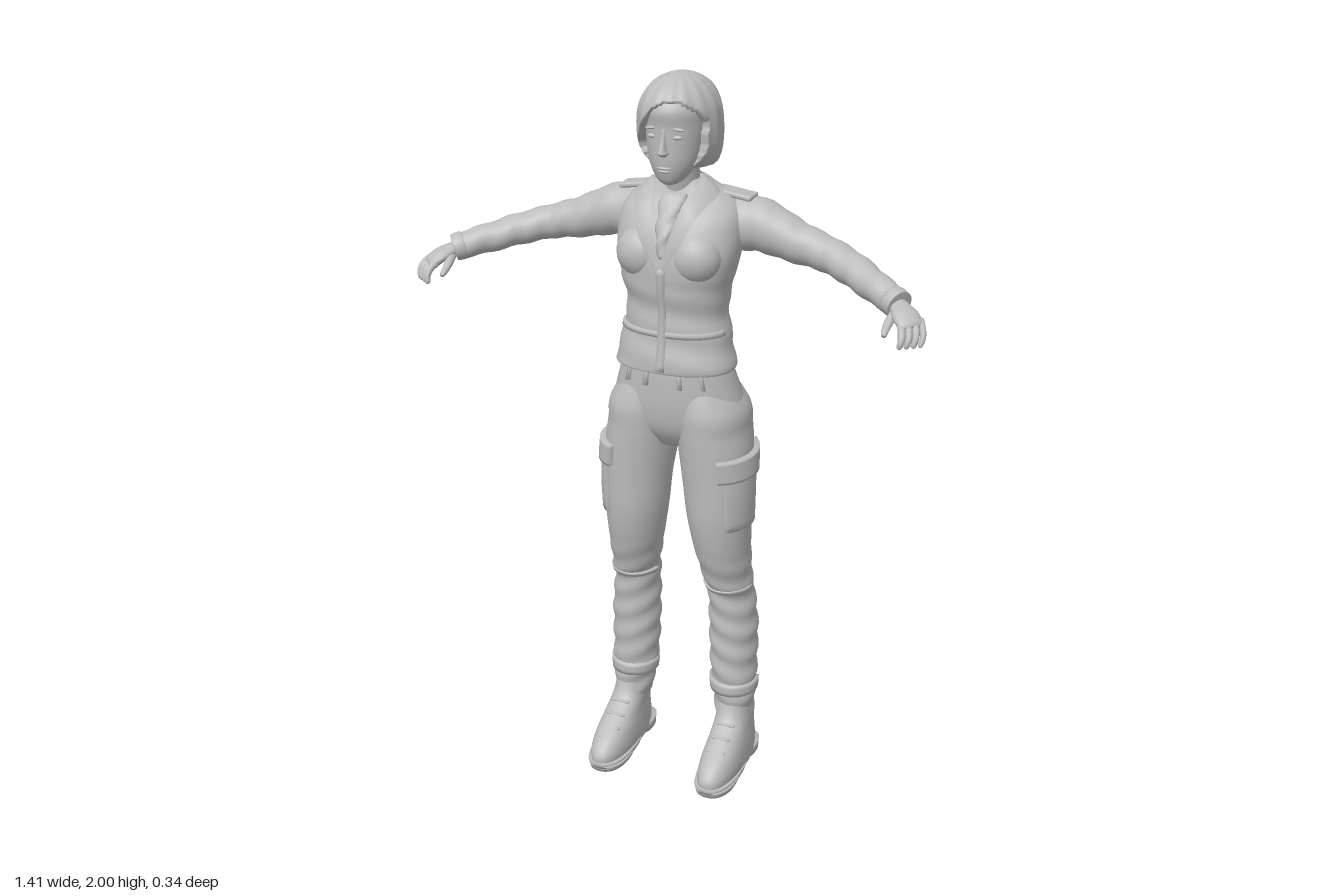
import * as THREE from 'three';
import { RoundedBoxGeometry } from 'three/addons/geometries/RoundedBoxGeometry.js';

const V = (x, y, z) => new THREE.Vector3(x, y, z);

// Catmull-Rom smoothing of cross-sections [x, y, z, radiusA, radiusB]
function densify(secs, sub = 5) {
  const out = [], last = secs.length - 1;
  for (let i = 0; i < last; i++) {
    const [p0, p1, p2, p3] = [-1, 0, 1, 2].map(k => secs[Math.min(last, Math.max(0, i + k))]);
    for (let s = 0; s < sub; s++) {
      const t = s / sub;
      out.push(p1.map((b, k) => {
        const a = p0[k], c = p2[k], d = p3[k];
        return 0.5 * (2 * b + (c - a) * t + (2 * a - 5 * b + 4 * c - d) * t * t + (3 * b - a - 3 * c + d) * t * t * t);
      }));
    }
  }
  out.push(secs[last]);
  return out;
}

const power = (c, pow) => Math.sign(c) * Math.abs(c) ** (2 / pow);

function ringPoint(sec, a, pow = 2, off = 0, u = V(1, 0, 0), v = V(0, 0, 1)) {
  return V(sec[0], sec[1], sec[2])
    .addScaledVector(u, (sec[3] + off) * power(Math.cos(a), pow))
    .addScaledVector(v, (sec[4] + off) * power(Math.sin(a), pow));
}

function makeGeometry(pos, index) {
  const g = new THREE.BufferGeometry();
  g.setAttribute('position', new THREE.Float32BufferAttribute(pos, 3));
  g.setIndex(index);
  g.computeVertexNormals();
  return g;
}

// Closed skin over cross-sections: level rings, or rings square to the path
function loft(secs, { path = false, n = 32, pow = 2, sub = 5, wrinkle = null, rule = null } = {}) {
  const d = densify(secs, sub), pos = [], index = [], m = d.length;
  const at = i => V(d[i][0], d[i][1], d[i][2]);
  d.forEach((s, i) => {
    let u = V(1, 0, 0), v = V(0, 0, 1);
    if (path) {
      const t = at(Math.min(m - 1, i + 1)).sub(at(Math.max(0, i - 1))).normalize();
      u = V(0, 1, 0).cross(t).normalize();
      v = t.clone().cross(u);
    }
    for (let j = 0; j < n; j++) {
      const a = j / n * Math.PI * 2;
      const p = ringPoint(s, a, pow, wrinkle ? wrinkle(a, s[1], s[0]) : 0, u, v);
      if (rule) rule(p);
      pos.push(p.x, p.y, p.z);
    }
  });
  const flip = !path && d[m - 1][1] > d[0][1];
  const tri = (a, b, c) => flip ? index.push(a, c, b) : index.push(a, b, c);
  for (let i = 0; i < m - 1; i++) for (let j = 0; j < n; j++) {
    const a = i * n + j, b = i * n + (j + 1) % n;
    tri(a, b, a + n);
    tri(b, b + n, a + n);
  }
  for (const [i, first] of [[0, true], [m - 1, false]]) {
    const c = pos.length / 3;
    pos.push(d[i][0], d[i][1], d[i][2]);
    for (let j = 0; j < n; j++) {
      const a = i * n + j, b = i * n + (j + 1) % n;
      first ? tri(c, b, a) : tri(c, a, b);
    }
  }
  return makeGeometry(pos, index);
}

// Raised panel lying on a level-ring skin; its border sinks into the skin
function panel(secs, y0, y1, a0, a1, off, { pow = 2, side = 1, cols = 16, rows = 10 } = {}) {
  const d = densify(secs).sort((p, q) => p[1] - q[1]), pos = [], index = [];
  for (let r = 0; r <= rows; r++) for (let c = 0; c <= cols; c++) {
    const edge = r === 0 || c === 0 || r === rows || c === cols;
    const fr = Math.min(1, Math.max(0, (r - 1) / (rows - 2))), fc = Math.min(1, Math.max(0, (c - 1) / (cols - 2)));
    const y = y0 + (y1 - y0) * fr;
    const k = Math.max(1, d.findIndex(s => s[1] >= y)), lo = d[k - 1], hi = d[k];
    const t = (y - lo[1]) / (hi[1] - lo[1]);
    const p = ringPoint(lo.map((q, i) => q + (hi[i] - q) * t), a0 + (a1 - a0) * fc, pow, edge ? -0.006 : off);
    pos.push(p.x * side, p.y, p.z);
    if (r < rows && c < cols) {
      const a = r * (cols + 1) + c, b = a + 1, e = a + cols + 1;
      side > 0 ? index.push(a, e, b, b, e, e + 1) : index.push(a, b, e, b, e + 1, e);
    }
  }
  return makeGeometry(pos, index);
}

// Open cloth strip between two edge curves
function ribbon(inner, outer, side) {
  const N = 24, pos = [], index = [];
  const [ci, co] = [inner, outer].map(l => new THREE.CatmullRomCurve3(l.map(p => V(p[0] * side, p[1], p[2]))));
  for (let i = 0; i <= N; i++) {
    const a = ci.getPoint(i / N), b = co.getPoint(i / N), c = a.clone().lerp(b, 0.5).add(V(0, 0.006, 0.004));
    pos.push(...a, ...c, ...b);
    if (i < N) for (const k of [0, 1]) {
      const q = i * 3 + k;
      side > 0 ? index.push(q, q + 3, q + 1, q + 1, q + 3, q + 4) : index.push(q, q + 1, q + 3, q + 1, q + 4, q + 3);
    }
  }
  return makeGeometry(pos, index);
}

export function createModel() {
  const model = new THREE.Group();
  model.name = 'figure';
  const grey = new THREE.MeshStandardMaterial({ color: 0xbcbcbc, side: THREE.DoubleSide });
  grey.name = 'plain grey';
  const add = (name, geo) => {
    const m = new THREE.Mesh(geo, grey);
    m.name = name;
    model.add(m);
    return m;
  };
  const ball = (name, x, y, z, sx, sy, sz) => {
    const m = add(name, new THREE.SphereGeometry(1, 24, 16));
    m.position.set(x, y, z);
    m.scale.set(sx, sy, sz);
    return m;
  };
  const flipX = (secs, s) => secs.map(p => [p[0] * s, ...p.slice(1)]);

  // Head, face and neck
  add('head', loft([[0, 1.73, .03, .018, .02], [0, 1.742, .022, .036, .038], [0, 1.77, .01, .055, .06], [0, 1.80, 0, .066, .074],
    [0, 1.84, -.01, .074, .085], [0, 1.88, -.015, .079, .091], [0, 1.92, -.02, .08, .1], [0, 1.96, -.03, .065, .085]], { n: 40 }));
  add('neck', loft([[0, 1.6, -.06, .07, .07], [0, 1.68, -.055, .054, .056], [0, 1.73, -.042, .048, .052], [0, 1.79, -.03, .05, .055]]));
  add('nose', loft([[0, 1.806, .07, .006, .008], [0, 1.814, .074, .014, .021], [0, 1.826, .073, .01, .02], [0, 1.85, .07, .007, .013],
    [0, 1.875, .068, .006, .008]], { n: 16 }));
  ball('upperLip', 0, 1.776, .068, .02, .0045, .008);
  ball('lowerLip', 0, 1.768, .066, .016, .005, .009);
  for (const s of [1, -1]) {
    ball('eye', .032 * s, 1.855, .064, .015, .006, .008);
    ball('eyebrow', .034 * s, 1.876, .065, .019, .004, .008).rotation.z = -.12 * s;
  }

  // Bobbed hair, sunk into the head where the face shows
  add('hair', loft([[0, 1.775, -.06, .05, .06], [0, 1.765, -.065, .078, .082], [0, 1.785, -.053, .094, .1], [0, 1.82, -.042, .104, .12],
    [0, 1.87, -.037, .106, .13], [0, 1.92, -.035, .1, .127], [0, 1.96, -.035, .08, .106], [0, 1.985, -.035, .052, .07],
    [0, 1.997, -.035, .022, .03], [0, 2, -.035, .002, .002]], {
    n: 96, sub: 6, wrinkle: a => .0015 * Math.sin(15 * a),
    rule: p => {
      const line = 1.94 - 9 * (p.x - .02) ** 2;
      if (p.z > .02 && p.y < line) { p.x *= .72; p.z = -.03 + (p.z + .03) * .6; }
    },
  }));

  // Jacket body
  const body = [[0, 1.235, -.01, .157, .105], [0, 1.245, -.01, .164, .111], [0, 1.32, -.018, .148, .107], [0, 1.4, -.024, .135, .108],
    [0, 1.47, -.024, .148, .117], [0, 1.53, -.028, .162, .122], [0, 1.58, -.04, .168, .122], [0, 1.64, -.057, .164, .109],
    [0, 1.68, -.07, .14, .084], [0, 1.71, -.065, .09, .065], [0, 1.73, -.06, .06, .055]];
  add('jacket', loft(body, { n: 48, pow: 2.25, wrinkle: (a, y) => y < 1.48 ? .0025 * Math.sin(y * 75 + 2 * Math.cos(a)) : 0 }));
  add('zip', panel(body, 1.245, 1.52, Math.PI / 2 - .05, Math.PI / 2 + .05, .005, { pow: 2.25, cols: 4, rows: 20 }));
  add('waistSeam', panel(body, 1.335, 1.35, .2, Math.PI - .2, .004, { pow: 2.25, cols: 30, rows: 4 }));
  add('scarf', loft([[0, 1.7, .0, .035, .02], [0, 1.65, .038, .03, .025], [0, 1.6, .068, .022, .022], [0, 1.55, .086, .009, .014]],
    { n: 20, wrinkle: (a, y) => .003 * Math.sin(3 * a + y * 120) }));

  const leg = [[.07, 1.2, -.03, .075, .095], [.095, 1.12, -.038, .098, .124], [.1, 1.06, -.04, .1, .127], [.108, 1, -.033, .1, .118],
    [.118, .9, -.023, .095, .103], [.123, .8, -.025, .088, .1], [.13, .7, -.035, .077, .092], [.14, .6, -.055, .066, .08],
    [.144, .55, -.071, .064, .075], [.15, .45, -.077, .068, .075], [.152, .35, -.077, .067, .073], [.155, .25, -.075, .063, .069],
    [.157, .2, -.072, .056, .066], [.16, .15, -.075, .051, .07]];
  const boot = [[.167, .02, .008, .056, .163], [.167, .05, .008, .058, .163], [.167, .085, -.006, .055, .145], [.166, .12, -.035, .05, .112],
    [.163, .16, -.068, .048, .082], [.16, .21, -.075, .046, .066]];
  const arm = [[.1, 1.605, -.095, .065, .07], [.15, 1.612, -.096, .068, .074], [.21, 1.608, -.095, .067, .068], [.3, 1.58, -.086, .055, .055],
    [.39, 1.56, -.073, .047, .046], [.47, 1.54, -.036, .046, .042], [.54, 1.52, .012, .041, .039], [.6, 1.503, .05, .036, .036],
    [.618, 1.498, .062, .035, .034]];
  const palm = [[.6, 1.5, .05, .024, .02], [.622, 1.494, .07, .027, .018], [.645, 1.482, .095, .036, .017], [.662, 1.468, .113, .033, .014],
    [.668, 1.462, .119, .024, .008]];

  for (const s of [1, -1]) {
    ball('chest', .073 * s, 1.545, .04, .07, .068, .06);
    // Lapel and collar running round to the nape, with an epaulette
    add('collar', ribbon(
      [[0, 1.53, .104], [.026, 1.62, .086], [.045, 1.69, .045], [.062, 1.735, -.04], [0, 1.745, -.112]],
      [[.012, 1.515, .107], [.06, 1.6, .094], [.088, 1.66, .06], [.106, 1.702, -.045], [0, 1.705, -.14]], s));
    const strap = add('epaulette', new RoundedBoxGeometry(.1, .014, .06, 3, .006));
    strap.position.set(.135 * s, 1.69, -.087);
    strap.rotation.z = -.14 * s;

    // Sleeve, cuff and hand
    add('sleeve', loft(flipX(arm, s), { path: true, wrinkle: (a, y, x) => .002 * Math.sin(Math.abs(x) * 90 + 2 * Math.sin(a)) }));
    add('cuff', loft(flipX([[.596, 1.504, .047, .038, .037], [.606, 1.501, .054, .039, .038], [.619, 1.497, .062, .038, .036]], s), { path: true }));
    add('palm', loft(flipX(palm, s), { path: true, n: 20 }));
    for (let f = 0; f < 4; f++) {
      const x = .64 + f * .0145, z = .128 - f * .011, r = .0095 - (f === 3 ? .0015 : 0);
      add('finger', loft(flipX([[x - .005, 1.474, z - .014, r, r], [x + .008, 1.459, z + .012, r, r], [x + .012, 1.441, z + .026 - f * .001, r * .9, r * .9],
        [x + .009, 1.424, z + .031, r * .7, r * .7], [x + .008, 1.42, z + .032, .002, .002]], s), { path: true, n: 12, sub: 4 }));
    }
    add('thumb', loft(flipX([[.617, 1.488, .075, .013, .012], [.61, 1.474, .105, .012, .011], [.607, 1.459, .132, .01, .009],
      [.608, 1.447, .152, .007, .007], [.608, 1.445, .155, .001, .001]], s), { path: true, n: 12 }));

    // Trouser leg with folds at the knee and ankle, and a cargo pocket
    add('trouserLeg', loft(flipX(leg, s), {
      n: 40, sub: 8,
      wrinkle: (a, y) => y > .72 ? 0 : .003 * Math.sin(y * 85 + 2.5 * Math.sin(a + s)) * Math.min(1, (.72 - y) * 8),
    }));
    add('cargoPocket', panel(leg, .79, .96, -.75, 1.0, .008, { side: s }));
    add('pocketFlap', panel(leg, .94, 1.0, -.85, 1.15, .016, { side: s }));
    add('kneeSeam', panel(leg, .572, .586, .1, 3.0, .006, { side: s, rows: 4 }));
    add('trouserCuff', panel(leg, .235, .27, -.3, 3.3, .007, { side: s, cols: 24, rows: 5 }));

    // Boot with sole and heel
    add('boot', loft(flipX(boot, s), { n: 40, pow: 2.3 }));
    add('sole', loft(flipX([[.167, .012, .05, .057, .122], [.167, .03, .045, .06, .13]], s), { n: 40, pow: 2.4, sub: 2 }));
    add('toeSole', loft(flipX([[.167, 0, .08, .054, .088], [.167, .02, .08, .059, .093]], s), { n: 40, pow: 2.3, sub: 2 }));
    add('heel', loft(flipX([[.166, 0, -.105, .05, .052], [.166, .035, -.104, .053, .056]], s), { n: 32, pow: 2.8, sub: 2 }));
    for (let i = 0; i < 3; i++) {
      const lace = add('bootLace', new RoundedBoxGeometry(.055, .008, .01, 2, .003));
      lace.position.set(.165 * s, .105 + i * .024, .092 - i * .037);
    }
  }

  // Trouser seat, waistband and belt loops
  const seat = [[0, 1.255, -.015, .146, .098], [0, 1.2, -.024, .163, .11], [0, 1.12, -.035, .184, .118], [0, 1.06, -.036, .172, .105],
    [0, 1.01, -.03, .09, .065]];
  add('trouserSeat', loft(seat, { n: 48, pow: 2.15 }));
  for (const a of [.9, 1.3, 1.84, 2.24, 4.0, 4.5, 4.92, 5.4]) {
    add('beltLoop', panel(seat, 1.195, 1.24, a - .04, a + .04, .007, { pow: 2.15, cols: 4, rows: 4 }));
  }
  return model;
}
